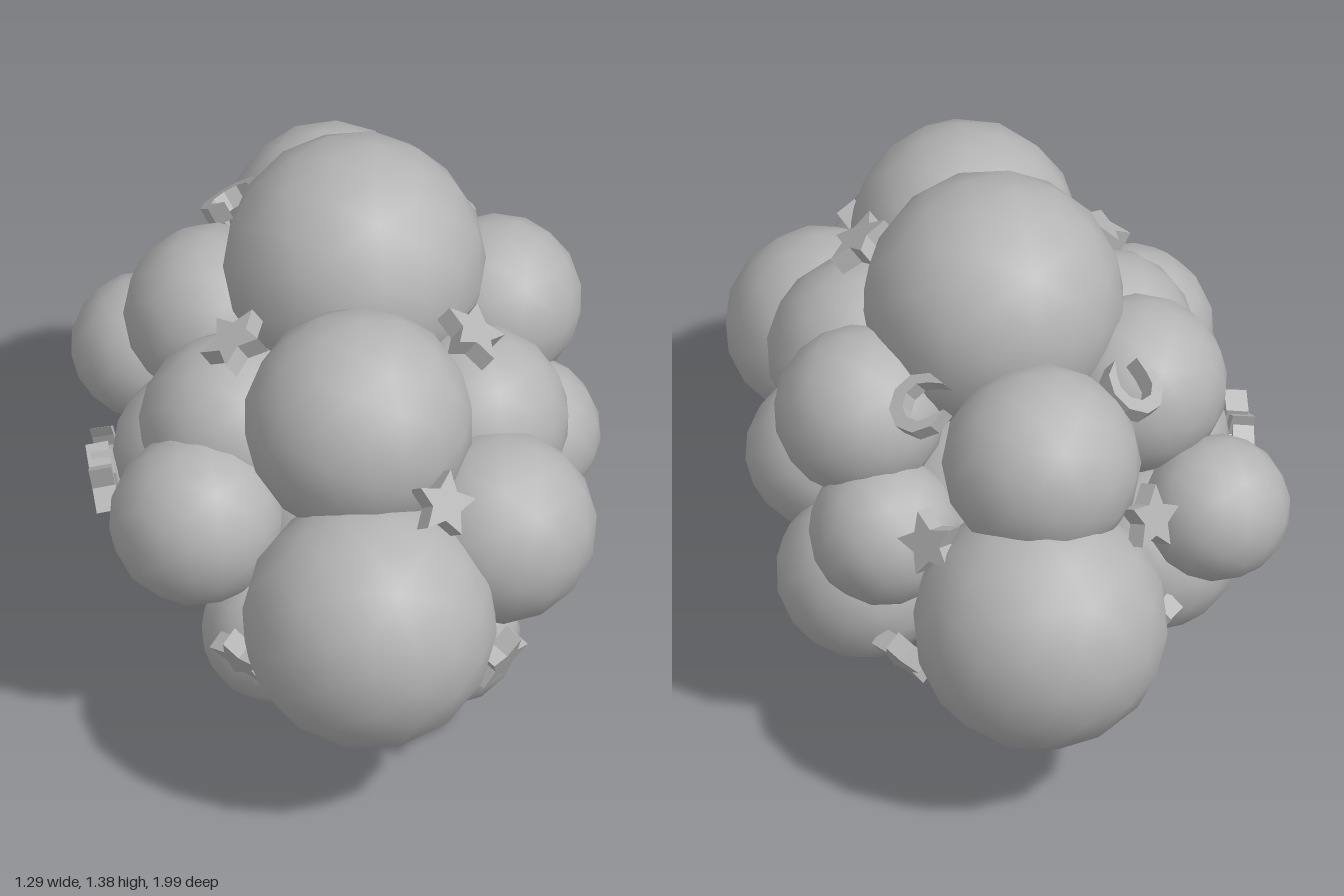
import * as THREE from 'three';

// Puffs of the cloud: [name, x, y, z, radius]
const PUFFS = [
  ['frontPuff', 0.05, 0.52, 0.68, 0.318],
  ['backPuff', 0.03, 0.5, -0.68, 0.318],
  ['topPuff', 0.045, 1.06, -0.085, 0.325],
  ['upperFrontPuff', 0.035, 0.92, 0.39, 0.285],
  ['upperBackPuff', 0, 0.87, -0.52, 0.247],
  ['bottomPuff', 0.04, 0.32, 0.02, 0.32],
  ['lowerBackPuff', 0.06, 0.265, -0.41, 0.197],
  ['leftFrontPuff', 0.38, 0.64, 0.46, 0.242],
  ['leftUpperPuff', 0.33, 0.76, 0.17, 0.237],
  ['leftUpperBackPuff', 0.4, 0.85, -0.2, 0.213],
  ['leftMiddlePuff', 0.455, 0.59, 0, 0.195],
  ['leftLowerBackPuff', 0.4, 0.395, -0.25, 0.217],
  ['leftBackPuff', 0.37, 0.61, -0.38, 0.188],
  ['leftLowerFrontPuff', 0.25, 0.3, 0.43, 0.183],
  ['rightFrontPuff', -0.365, 0.605, 0.35, 0.216],
  ['rightUpperPuff', -0.27, 0.74, 0.14, 0.228],
  ['rightUpperBackPuff', -0.3, 0.84, -0.19, 0.222],
  ['rightMiddlePuff', -0.36, 0.55, -0.02, 0.195],
  ['rightLowerBackPuff', -0.33, 0.38, -0.25, 0.208],
  ['rightBackPuff', -0.46, 0.59, -0.4, 0.183],
  ['rightLowerFrontPuff', -0.17, 0.3, 0.4, 0.185],
];

// Ornaments: [x, y, z, radius]
const STARS = [
  [0.32, 1.05, 0.22, 0.088], [-0.26, 1.03, 0.2, 0.088],
  [0.23, 0.85, 0.65, 0.085],
  [0.37, 0.39, 0.66, 0.085], [-0.26, 0.39, 0.63, 0.085],
  [0.29, 0.72, -0.6, 0.085], [-0.25, 0.75, -0.63, 0.085],
  [0.34, 0.32, -0.51, 0.085], [-0.28, 0.33, -0.5, 0.085],
  [-0.58, 0.5, 0.04, 0.095],
];
const MOONS = [
  [0.4, 0.43, 0.22, 0.08], [-0.37, 0.42, 0.22, 0.08],
  [0.28, 1, -0.41, 0.08], [-0.24, 1, -0.43, 0.08],
  [-0.57, 0.5, -0.04, 0.09],
];

// Extrude an outline of unit radius, centred through its depth
function plate(points, depth) {
  const g = new THREE.ExtrudeGeometry(new THREE.Shape(points), { depth, bevelEnabled: false });
  return g.translate(0, 0, -depth / 2);
}

function starGeometry() {
  const pts = [];
  for (let i = 0; i < 10; i++) {
    const a = Math.PI / 2 + i * Math.PI / 5, r = i % 2 ? 0.5 : 1;
    pts.push(new THREE.Vector2(Math.cos(a) * r, Math.sin(a) * r));
  }
  return plate(pts, 0.6);
}

function moonGeometry() {
  const pts = [], n = 8, open = 0.45;
  // Outer arc out, then the offset inner arc back
  for (let i = 0; i <= n; i++) {
    const a = open + (i / n) * (Math.PI * 2 - 2 * open);
    pts.push(new THREE.Vector2(Math.cos(a), Math.sin(a)));
  }
  for (let i = n - 1; i > 0; i--) {
    const a = open + (i / n) * (Math.PI * 2 - 2 * open);
    pts.push(new THREE.Vector2(Math.cos(a) * 0.65 + 0.12, Math.sin(a) * 0.65));
  }
  return plate(pts, 0.6);
}

export function createModel() {
  const model = new THREE.Group();
  model.name = 'cloud';
  const grey = new THREE.MeshStandardMaterial({ color: 0xb4b4b4 });
  grey.name = 'cloudGrey';

  // Smooth-shaded, low-poly puffs, each turned a little differently
  const ball = new THREE.IcosahedronGeometry(1, 2);
  PUFFS.forEach(([name, x, y, z, r], i) => {
    const puff = new THREE.Mesh(ball, grey);
    puff.name = name;
    puff.position.set(x, y, z);
    puff.scale.setScalar(r);
    puff.rotation.set(i * 0.7, i * 1.3, 0);
    model.add(puff);
  });

  // Stars and crescents in the creases, facing outwards
  const addOrnaments = (name, list, geometry) => list.forEach(([x, y, z, r], i) => {
    const mesh = new THREE.Mesh(geometry, grey);
    mesh.name = name + (i + 1);
    mesh.position.set(x, y, z);
    mesh.lookAt(x * 2, y + (y - 0.6), z * 1.45);
    mesh.rotateZ(i * 0.35);
    mesh.scale.setScalar(r);
    model.add(mesh);
  });
  addOrnaments('star', STARS, starGeometry());
  addOrnaments('crescent', MOONS, moonGeometry());

  return model;
}
